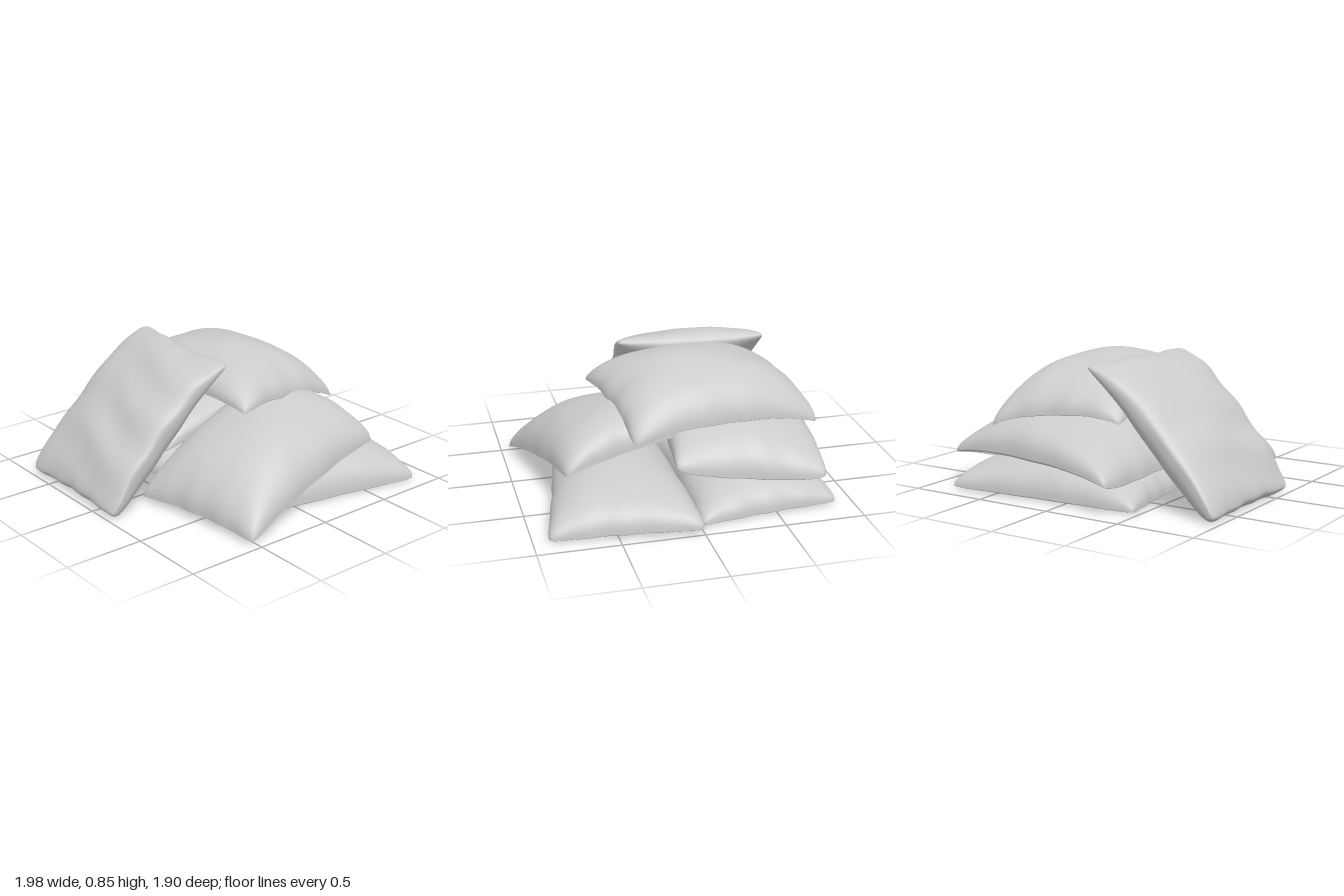
import * as THREE from 'three';

const N = 48; // grid divisions per pillow side
const material = new THREE.MeshStandardMaterial({ color: 0xcccccc, side: THREE.DoubleSide });

// One face of a pillow: a bent quad between four corners, puffed along a direction
function pillowSheet(p, bulge, isTop) {
  const [bl, br, fr, fl] = p.corners.map(c => new THREE.Vector3(...c));
  const dir = new THREE.Vector3(...(p.dir || [0, 1, 0])).normalize();
  const { bend = [0, 0], wrinkle = 0, skew = 0, seed } = p;
  const pos = [], index = [];
  const back = new THREE.Vector3(), front = new THREE.Vector3();
  for (let j = 0; j <= N; j++) {
    for (let i = 0; i <= N; i++) {
      // rows crowd towards the seams so that the rounded rim stays smooth
      const u = Math.sin((i / N - 0.5) * Math.PI), v = Math.sin((j / N - 0.5) * Math.PI);
      const cu = 1 - u * u, cv = 1 - v * v;
      // sides pull in, corner tips are rounded, seams pucker slightly
      const tip = 0.035 * Math.pow(Math.abs(u * v), 14);
      const uu = u * (1 - 0.035 * cv - tip + 0.007 * Math.sin(v * 13 + seed) * cv);
      const vv = v * (1 - 0.035 * cu - tip + 0.007 * Math.sin(u * 12 + seed * 2) * cu);
      back.lerpVectors(bl, br, (uu + 1) / 2);
      front.lerpVectors(fl, fr, (uu + 1) / 2);
      const point = back.lerp(front, (vv + 1) / 2);
      const puff = Math.pow(Math.max(cu * cv, 0), 0.4);
      const soft = 0.008 * Math.sin(5 * u + seed) * Math.sin(4 * v + 2 * seed);
      const fold = wrinkle * Math.sin(11 * u + 1.5 * Math.sin(2.5 * v + seed)) * (0.6 + 0.4 * v);
      // filling shifts sideways: up on the top face, down on the underside
      const fill = 1 + (isTop ? skew : -skew) * u;
      let h = bend[0] * (1 - Math.abs(u) ** 3) + bend[1] * (1 - Math.abs(v) ** 3) + bulge * puff * fill;
      if (isTop) h += (soft + fold) * Math.sqrt(puff);
      point.addScaledVector(dir, h);
      pos.push(point.x, Math.max(point.y, 0), point.z); // pressed flat by the floor
    }
  }
  for (let j = 0; j < N; j++) {
    for (let i = 0; i < N; i++) {
      const a = j * (N + 1) + i, b = a + 1, c = a + N + 1, d = c + 1;
      if (isTop) index.push(a, c, b, b, c, d);
      else index.push(a, b, c, b, d, c);
    }
  }
  const g = new THREE.BufferGeometry();
  g.setAttribute('position', new THREE.Float32BufferAttribute(pos, 3));
  g.setIndex(index);
  g.computeVertexNormals();
  return new THREE.Mesh(g, material);
}

function pillow(p) {
  const group = new THREE.Group();
  group.name = p.name;
  const top = pillowSheet(p, p.top, true), under = pillowSheet(p, p.under, false);
  top.name = p.name + 'Top';
  under.name = p.name + 'Underside';
  group.add(top, under);
  return group;
}

// Corners run back left, back right, front right, front left as seen from above
const PILLOWS = [
  { name: 'frontFloorPillow', seed: 1, top: 0.28, under: -0.03,
    corners: [[-0.44, 0.01, 0], [1.02, 0.04, -0.01], [0.88, 0.01, 0.92], [-0.46, 0.01, 0.66]] },
  { name: 'backFloorPillow', seed: 2, top: 0.25, under: -0.03,
    corners: [[-0.48, 0.01, -0.79], [0.82, 0.02, -0.9], [0.91, 0.01, 0], [-0.38, 0.01, 0]] },
  { name: 'frontMiddlePillow', seed: 3, top: 0.29, under: 0.01, bend: [0.04, 0.02],
    corners: [[-0.68, 0.02, 0.05], [0.5, 0.44, -0.08], [0.64, 0.29, 0.76], [-0.53, 0.01, 0.96]] },
  { name: 'backMiddlePillow', seed: 4, top: 0.28, under: -0.04, bend: [0.06, -0.04],
    corners: [[-0.4, 0.18, -0.97], [0.87, 0.22, -0.81], [0.76, 0.32, 0.12], [-0.45, 0.25, 0.02]] },
  { name: 'topPillow', seed: 5, top: 0.22, under: -0.03, bend: [0.06, 0.07], skew: 0.12,
    corners: [[-0.34, 0.5, -0.72], [0.52, 0.43, -0.87], [0.67, 0.45, 0.35], [-0.2, 0.58, 0.49]] },
  { name: 'leaningPillow', seed: 6, top: 0.11, under: -0.22, bend: [0.06, 0], wrinkle: 0.013,
    skew: 0.35, dir: [-0.68, 0.74, 0],
    corners: [[-0.97, 0.02, -0.74], [-0.07, 0.83, -0.7], [-0.15, 0.83, 0.27], [-0.98, 0.02, 0.2]] },
];

export function createModel() {
  const model = new THREE.Group();
  model.name = 'pillowPile';
  PILLOWS.forEach(p => model.add(pillow(p)));
  return model;
}
